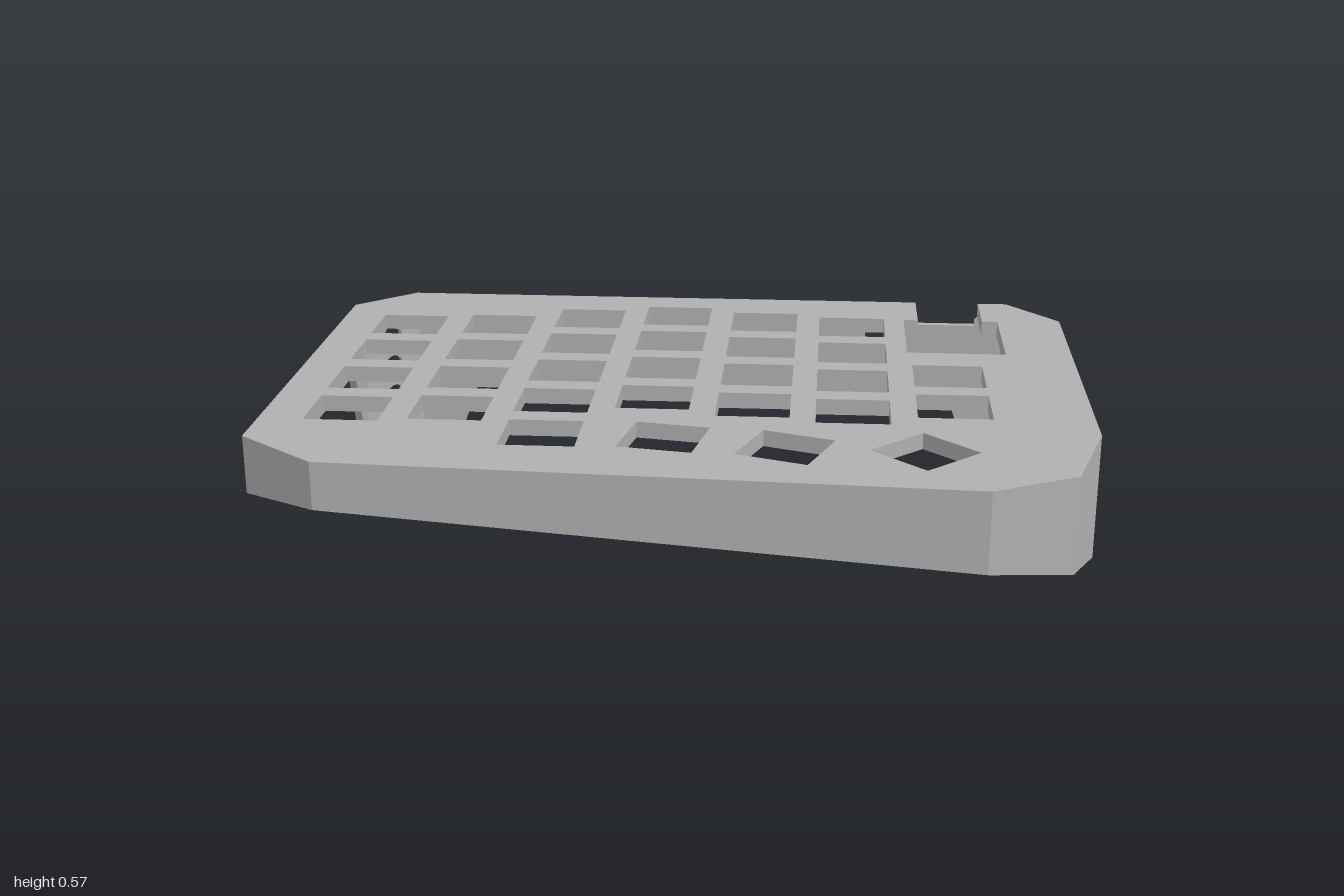
import * as THREE from 'three';

const TOP = 0.58, PLATE = 0.04, WALL = 0.022, KEY = 0.18, PITCH = 0.2437;

// Case outline seen from above, as [x, z]
const OUTLINE = [
  [0.72, 0.757], [-0.8, 0.683], [-1, 0.52], [-1, -0.62], [-0.85, -0.765],
  [0.865, -0.765], [1, -0.595], [1, 0.37], [0.92, 0.65],
].map(([x, z]) => new THREE.Vector2(x, z));

// Height of the tilted plane that trims the walls and feet
const floorAt = (p) => 0.247 - 0.0644 * p.x + 0.2416 * p.y;

const polygon = (points) => points.map(([x, y]) => new THREE.Vector2(x, y));

function rectHole(x0, y0, x1, y1) {
  return new THREE.Path(polygon([[x0, y0], [x1, y0], [x1, y1], [x0, y1]]));
}

function roundHole(x, y, r) {
  return new THREE.Path().absarc(x, y, r, 0, Math.PI * 2, false);
}

// Square key opening centred on x, z and turned clockwise by the given degrees
function keyHole(x, z, degrees = 0) {
  const centre = new THREE.Vector2(x, -z);
  const h = KEY / 2;
  const corners = polygon([[-h, -h], [h, -h], [h, h], [-h, h]]);
  const turn = -THREE.MathUtils.degToRad(degrees);
  return new THREE.Path(corners.map((c) => c.rotateAround(new THREE.Vector2(), turn).add(centre)));
}

// Outline moved inward by the wall thickness with mitred corners
function insetOutline() {
  const n = OUTLINE.length;
  const normal = (i) => {
    const d = OUTLINE[(i + 1) % n].clone().sub(OUTLINE[i]).normalize();
    return new THREE.Vector2(-d.y, d.x);
  };
  return OUTLINE.map((p, i) => {
    const a = normal((i + n - 1) % n), b = normal(i);
    return a.clone().add(b).multiplyScalar(WALL / (1 + a.dot(b))).add(p);
  });
}

function createPlate(material) {
  // Outline with the controller bay and cable notch cut into the back edge
  const bay = polygon([
    [0.607, -0.765], [0.607, -0.578], [0.567, -0.578], [0.567, -0.265],
    [0.827, -0.265], [0.827, -0.578], [0.785, -0.578], [0.785, -0.765],
  ]);
  const edge = [...OUTLINE.slice(0, 5), ...bay, ...OUTLINE.slice(5)];
  const shape = new THREE.Shape(edge.map((p) => new THREE.Vector2(p.x, -p.y)));

  // Key columns: x, z of the rearmost key, number of keys
  const columns = [
    [-0.8, -0.432, 4], [-0.553, -0.452, 4], [-0.308, -0.528, 5], [-0.065, -0.57, 4],
    [0.18, -0.528, 4], [0.422, -0.495, 4], [0.667, -0.062, 2],
  ];
  for (const [x, z, count] of columns) {
    for (let i = 0; i < count; i++) shape.holes.push(keyHole(x, z + i * PITCH));
  }
  // Fanned thumb keys
  shape.holes.push(keyHole(-0.02, 0.455, 10), keyHole(0.265, 0.505, 20), keyHole(0.585, 0.51, 45));

  const geometry = new THREE.ExtrudeGeometry(shape, { depth: PLATE, bevelEnabled: false });
  geometry.rotateX(-Math.PI / 2).translate(0, TOP - PLATE, 0);
  const mesh = new THREE.Mesh(geometry, material);
  mesh.name = 'keyPlate';
  return mesh;
}

// Wall features by outline edge, in distance along the edge and height.
// under: bottom cut-out (null height means the trim plane), over: top notch
function wallFeatures() {
  return {
    2: { name: 'rightWall', under: [[0.07, null], [1.005, 0.42], [1.095, null]] },
    3: { name: 'rightRearLeg', holes: [0.2, 0.29, 0.38, 0.47].map((y) => roundHole(0.105, y, 0.033)) },
    4: {
      name: 'backWall',
      under: [[0.095, null], [0.165, 0.3], [1.57, 0.3], [1.675, null]],
      over: [[1.635, TOP - PLATE], [1.635, 0.52], [1.457, 0.52], [1.457, TOP - PLATE]],
      holes: [rectHole(1.315, 0.47, 1.435, 0.515)],
    },
    5: {
      name: 'leftRearLeg',
      holes: [roundHole(0.064, 0.43, 0.032), roundHole(0.153, 0.43, 0.032), rectHole(0.064, 0.34, 0.153, 0.378)],
    },
    6: { name: 'leftWall', under: [[0.035, null], [0.15, 0.37], [0.85, 0.37], [0.895, null]] },
  };
}

function createWalls(material) {
  const group = new THREE.Group();
  group.name = 'walls';
  const inner = insetOutline();
  const features = wallFeatures();
  const n = OUTLINE.length;
  for (let i = 0; i < n; i++) {
    const j = (i + 1) % n;
    const a = OUTLINE[i], b = OUTLINE[j];
    const length = a.distanceTo(b);
    const { name = 'frontWall', under = [], over = [], holes = [] } = features[i] ?? {};
    const onFloor = (s) => floorAt(a.clone().lerp(b, s / length));
    const shape = new THREE.Shape(polygon([
      [0, onFloor(0)],
      ...under.map(([s, y]) => [s, y ?? onFloor(s)]),
      [length, onFloor(length)],
      [length, TOP - PLATE],
      ...over,
      [0, TOP - PLATE],
    ]));
    shape.holes.push(...holes);
    const geometry = new THREE.ExtrudeGeometry(shape, { depth: WALL, bevelEnabled: false, curveSegments: 20 });

    // Lay the flat panel between the outer and inner outlines
    const pos = geometry.attributes.position;
    for (let k = 0; k < pos.count; k++) {
      const t = pos.getX(k) / length;
      const outside = a.clone().lerp(b, t);
      const inside = inner[i].clone().lerp(inner[j], t);
      const p = outside.lerp(inside, pos.getZ(k) / WALL);
      pos.setXYZ(k, p.x, pos.getY(k), p.y);
    }
    geometry.computeVertexNormals();
    const mesh = new THREE.Mesh(geometry, material);
    mesh.name = name;
    group.add(mesh);
  }
  return group;
}

export function createModel() {
  const material = new THREE.MeshStandardMaterial({ color: 0xb0b0b0 });
  material.name = 'caseGrey';
  const model = new THREE.Group();
  model.name = 'keyboardCase';
  model.add(createPlate(material), createWalls(material));
  return model;
}
